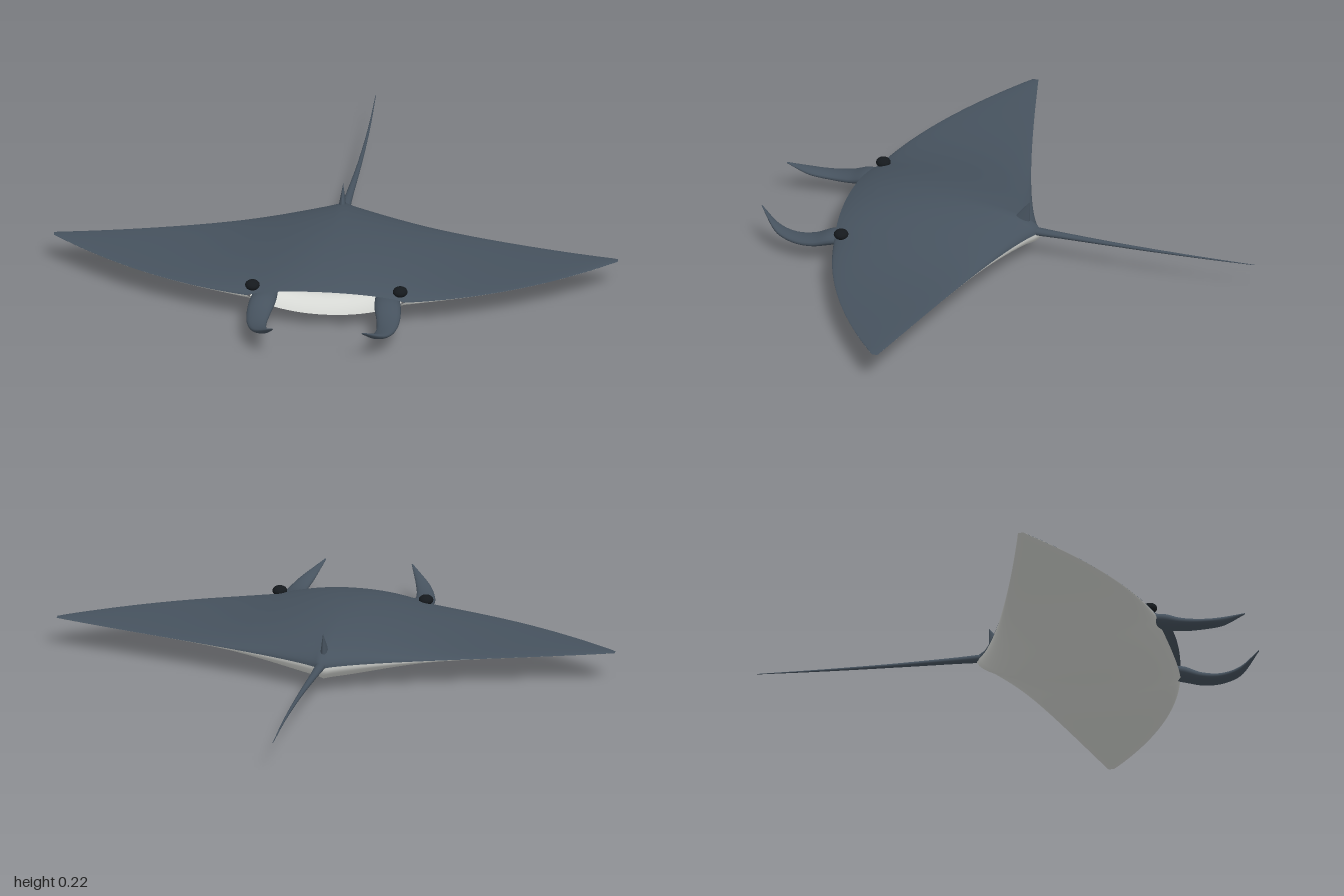
import * as THREE from 'three';
import { mergeVertices } from 'three/addons/utils/BufferGeometryUtils.js';

const { sin, cos, abs, sqrt, PI } = Math;

// Grid surface from a rule; the front side faces du x dv
function surface(rule, nu, nv) {
  const pos = [], index = [];
  for (let j = 0; j <= nv; j++)
    for (let i = 0; i <= nu; i++) pos.push(...rule(i / nu, j / nv));
  for (let j = 0; j < nv; j++)
    for (let i = 0; i < nu; i++) {
      const a = j * (nu + 1) + i, b = a + 1, c = a + nu + 1, d = c + 1;
      index.push(a, b, d, a, d, c);
    }
  let g = new THREE.BufferGeometry();
  g.setAttribute('position', new THREE.Float32BufferAttribute(pos, 3));
  g.setIndex(index);
  g = mergeVertices(g, 1e-5);
  g.computeVertexNormals();
  return g;
}

// Elliptical sections [x, y, z, halfWidth, halfHeight], ordered towards +z
function loft(sections, nu, nv) {
  const path = new THREE.CatmullRomCurve3(sections.map(s => new THREE.Vector3(s[0], s[1], s[2])));
  const size = new THREE.CatmullRomCurve3(sections.map(s => new THREE.Vector3(s[3], s[4], 0)));
  return surface((u, v) => {
    const p = path.getPoint(v), r = size.getPoint(v), a = (u % 1) * 2 * PI;
    return [p.x + r.x * cos(a), p.y + r.y * sin(a), p.z];
  }, nu, nv);
}

// Body outline and thickness across the span
const lead = x => 0.61 - 0.38 * abs(x) ** 2.1;
const trail = x => -0.1 + 0.31 * abs(x) ** 0.73;
const middle = x => 0.108 + 0.011 * x ** 4;
const bulge = x => Math.exp(-((x / 0.32) ** 2));
const edge = x => 0.006 * sqrt(Math.max(0, 1 - abs(x) ** 20));
const topHeight = x => 0.081 * bulge(x) + edge(x);
const bottomHeight = x => 0.098 * bulge(x) + edge(x);
const MOUTH = 0.27;
const gape = x => 0.47 * sqrt(Math.max(0, 1 - (x / MOUTH) ** 4));

// Point on the skin; s runs from the trailing edge (0) to the leading edge (1)
function skin(x, s, height) {
  const end = PI - Math.asin(gape(x));
  const a = s * end;
  const k = (1 - cos(a)) / (1 - cos(end));
  return [x, middle(x) + height * sin(a), trail(x) + (lead(x) - trail(x)) * k];
}

// Hollow mouth lining between the lips
function mouthHalf(from, to) {
  return surface((u, v) => {
    const x = (u * 2 - 1) * MOUTH, b = from + (to - from) * v, m = gape(x);
    const h = cos(b) > 0 ? topHeight(x) : bottomHeight(x);
    return [x, middle(x) + h * m * cos(b), lead(x) - 0.2 * m * sin(b)];
  }, 28, 8);
}

export function createModel() {
  const group = new THREE.Group();
  const material = (name, color, side = THREE.FrontSide) =>
    Object.assign(new THREE.MeshStandardMaterial({ color, side }), { name });
  const slate = material('slate back', 0x46525e);
  const pale = material('pale belly', 0xd6d8d4);
  const black = material('eye black', 0x15191d);

  const add = (name, geometry, mat) => {
    const mesh = new THREE.Mesh(geometry, mat);
    mesh.name = name;
    group.add(mesh);
    return mesh;
  };

  // Back and belly of the winged body
  add('back', surface((u, v) => {
    const x = v * 2 - 1;
    return skin(x, u, topHeight(x));
  }, 36, 100), slate);
  add('belly', surface((u, v) => {
    const x = u * 2 - 1;
    return skin(x, v, -bottomHeight(x));
  }, 100, 36), pale);

  // Mouth
  add('mouthRoof', mouthHalf(PI / 2, 0), slate);
  add('mouthFloor', mouthHalf(PI, PI / 2), pale);

  // Whip tail
  add('tail', loft([
    [0.03, 0.125, -0.89, 0.001, 0.001],
    [0.03, 0.122, -0.65, 0.004, 0.004],
    [0.022, 0.118, -0.4, 0.008, 0.007],
    [0.008, 0.114, -0.17, 0.014, 0.011],
    [0, 0.112, -0.05, 0.02, 0.015],
  ], 12, 40), slate);

  // Small swept dorsal fin
  const fin = new THREE.ConeGeometry(1, 1, 12, 4);
  fin.scale(0.016, 0.09, 0.038);
  const p = fin.attributes.position;
  for (let i = 0; i < p.count; i++) p.setZ(i, p.getZ(i) - (p.getY(i) + 0.045) * 0.4);
  fin.translate(-0.002, 0.18, -0.018);
  fin.computeVertexNormals();
  add('dorsalFin', fin, slate);

  for (const side of [1, -1]) {
    const label = side > 0 ? 'left' : 'right';
    // Curled head fin
    const sections = [
      [0.215, 0.108, 0.55, 0.042, 0.018],
      [0.222, 0.1, 0.61, 0.047, 0.024],
      [0.23, 0.083, 0.67, 0.042, 0.018],
      [0.229, 0.079, 0.74, 0.034, 0.014],
      [0.209, 0.093, 0.81, 0.027, 0.012],
      [0.156, 0.143, 0.885, 0.003, 0.002],
    ].map(([x, ...rest]) => [x * side, ...rest]);
    add(label + 'HeadFin', loft(sections, 16, 28), slate);
    // Eye
    const eye = add(label + 'Eye', new THREE.SphereGeometry(0.026, 20, 14), black);
    eye.scale.y = 0.7;
    eye.position.set(0.262 * side, 0.139, 0.562);
  }
  return group;
}
